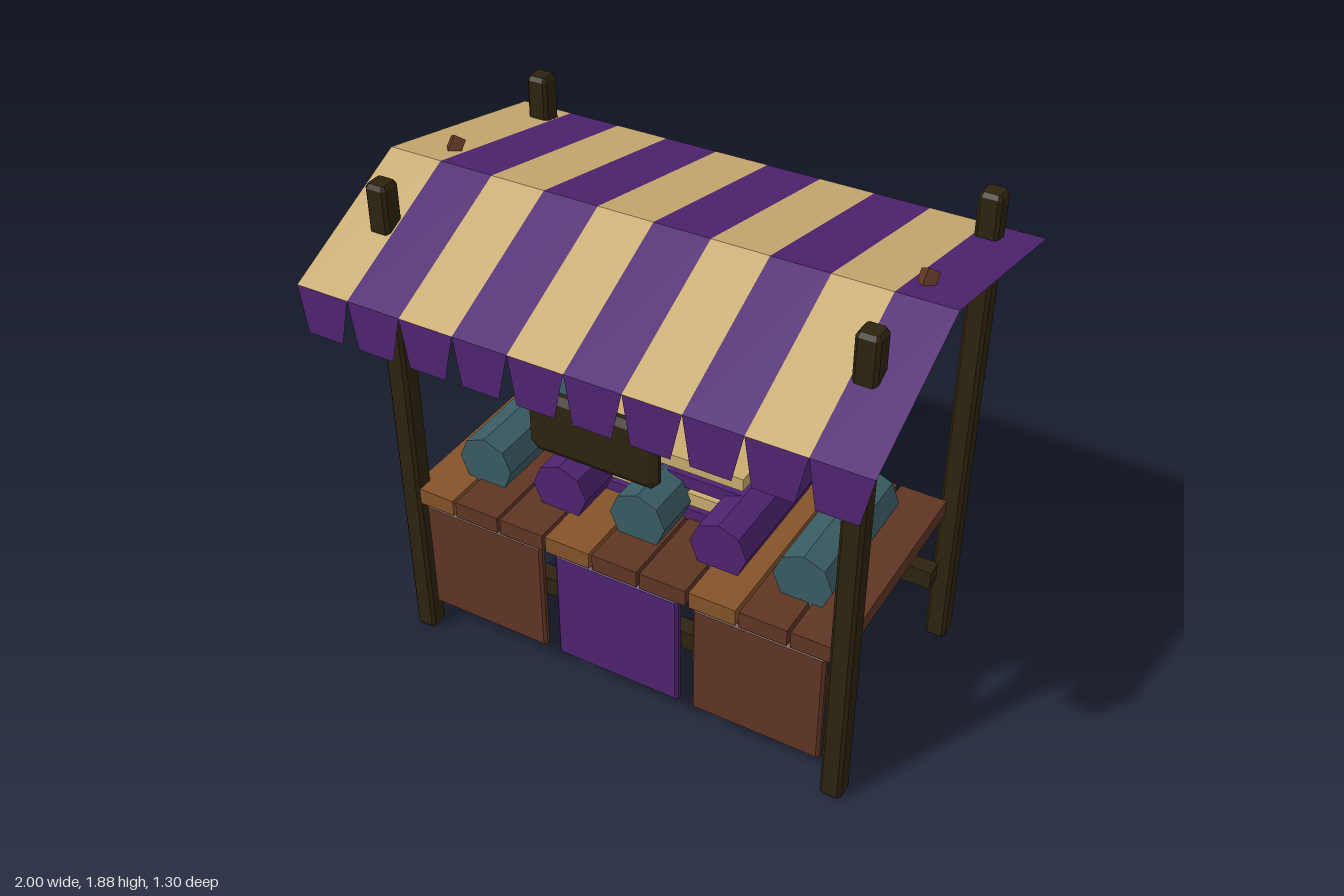
import * as THREE from 'three';

const material = (name, color, side = THREE.FrontSide) =>
  new THREE.MeshStandardMaterial({ name, color, side });

export function createModel() {
  const darkWood = material('dark wood', 0x2e240f);
  const redWood = material('red brown wood', 0x5f3524);
  const lightWood = material('light brown wood', 0x85532a);
  const purple = material('purple cloth', 0x4e2370, THREE.DoubleSide);
  const tan = material('tan cloth', 0xc9ab70, THREE.DoubleSide);
  const teal = material('teal cloth', 0x3a5c64);

  const stall = new THREE.Group();
  stall.name = 'marketStall';

  function add(name, geometry, mat, x = 0, y = 0, z = 0) {
    const mesh = new THREE.Mesh(geometry, mat);
    mesh.name = name;
    mesh.position.set(x, y, z);
    stall.add(mesh);
    return mesh;
  }

  // Block with chamfered faces and clipped corners, centred, depth along z
  function chamferBlock(w, h, d, size, thickness, clip) {
    const a = w / 2 - size, b = h / 2 - size, c = clip;
    const shape = new THREE.Shape([
      [a - c, -b], [a, -b + c], [a, b - c], [a - c, b],
      [-a + c, b], [-a, b - c], [-a, -b + c], [-a + c, -b],
    ].map(([x, y]) => new THREE.Vector2(x, y)));
    const depth = d - 2 * thickness;
    return new THREE.ExtrudeGeometry(shape, {
      depth, bevelEnabled: true, bevelSegments: 1, bevelSize: size, bevelThickness: thickness,
    }).translate(0, 0, -depth / 2);
  }

  // Flat strips between successive pairs of points
  function strip(rows) {
    const p = [];
    for (let i = 0; i + 1 < rows.length; i++) {
      const [a, b] = rows[i], [d, c] = rows[i + 1];
      p.push(...a, ...b, ...c, ...a, ...c, ...d);
    }
    const g = new THREE.BufferGeometry();
    g.setAttribute('position', new THREE.Float32BufferAttribute(p, 3));
    g.computeVertexNormals();
    return g;
  }

  // Four posts and the two canopy braces
  const postGeometry = chamferBlock(0.08, 0.08, 1.875, 0.01, 0.015, 0.006).rotateX(-Math.PI / 2);
  const braceStart = new THREE.Vector3(0, 1.416, 0.37);
  const braceEnd = new THREE.Vector3(0, 1.846, -0.04);
  const braceDir = braceEnd.clone().sub(braceStart);
  const braceGeometry = new THREE.BoxGeometry(0.043, braceDir.length(), 0.043).rotateY(Math.PI / 4);
  for (const side of [-1, 1]) {
    const x = side * 0.845;
    add('frontPost', postGeometry, darkWood, x, 0.9375, 0.37);
    add('backPost', postGeometry, darkWood, x, 0.9375, -0.54);
    const mid = braceStart.clone().lerp(braceEnd, 0.5);
    const brace = add('canopyBrace', braceGeometry, redWood, x, mid.y, mid.z);
    brace.quaternion.setFromUnitVectors(new THREE.Vector3(0, 1, 0), braceDir.clone().normalize());
  }

  // Striped canopy with a hanging flap on each stripe
  const profile = [[1.595, 0.645], [1.845, 0.12], [1.69, -0.65]];
  for (let i = 0; i < 10; i++) {
    const x0 = -1 + i * 0.2, x1 = x0 + 0.2;
    add('canopyStripe', strip(profile.map(([y, z]) => [[x0, y, z], [x1, y, z]])), i % 2 ? purple : tan);
    add('canopyFlap', strip([
      [[x0 + 0.032, 1.43, 0.655], [x1 - 0.032, 1.43, 0.655]],
      [[x0, 1.595, 0.645], [x1, 1.595, 0.645]],
    ]), purple);
  }

  // Hanging sign board
  add('signBoard', chamferBlock(0.47, 0.235, 0.05, 0.025, 0.017, 0.012), darkWood, 0, 1.267, 0.49);

  // Counter planks
  const plankGeometry = new THREE.BoxGeometry(0.175, 0.065, 0.87);
  for (let i = 0; i < 9; i++) {
    add('counterPlank', plankGeometry, i % 3 ? redWood : lightWood, (i - 4) * 0.188, 0.6425, -0.035);
  }

  // Lower rails
  const railGeometry = new THREE.BoxGeometry(1.72, 0.075, 0.065);
  add('frontRail', railGeometry, darkWood, 0, 0.41, 0.328);
  add('backRail', railGeometry, darkWood, 0, 0.41, -0.368);

  // Front panels
  const panelGeometry = chamferBlock(0.49, 0.465, 0.035, 0.01, 0.01, 0.002);
  for (const i of [-1, 0, 1]) {
    add('frontPanel', panelGeometry, i ? redWood : purple, i * 0.545, 0.3775, 0.38);
  }

  // Rolled cloth bolts
  const boltGeometry = new THREE.CylinderGeometry(0.108, 0.108, 0.53, 8)
    .rotateX(Math.PI / 2).toNonIndexed();
  boltGeometry.computeVertexNormals();
  for (let i = -2; i <= 2; i++) {
    add('clothBolt', boltGeometry, i % 2 ? purple : teal, i * 0.3125, 0.752, -0.02);
  }

  // Stack of folded cloth
  const foldGeometry = new THREE.BoxGeometry(0.615, 0.05, 0.39);
  for (let i = 0; i < 4; i++) {
    add('foldedCloth', foldGeometry, i % 2 ? tan : purple, 0, 0.691 + i * 0.07, -0.13);
  }

  return stall;
}
